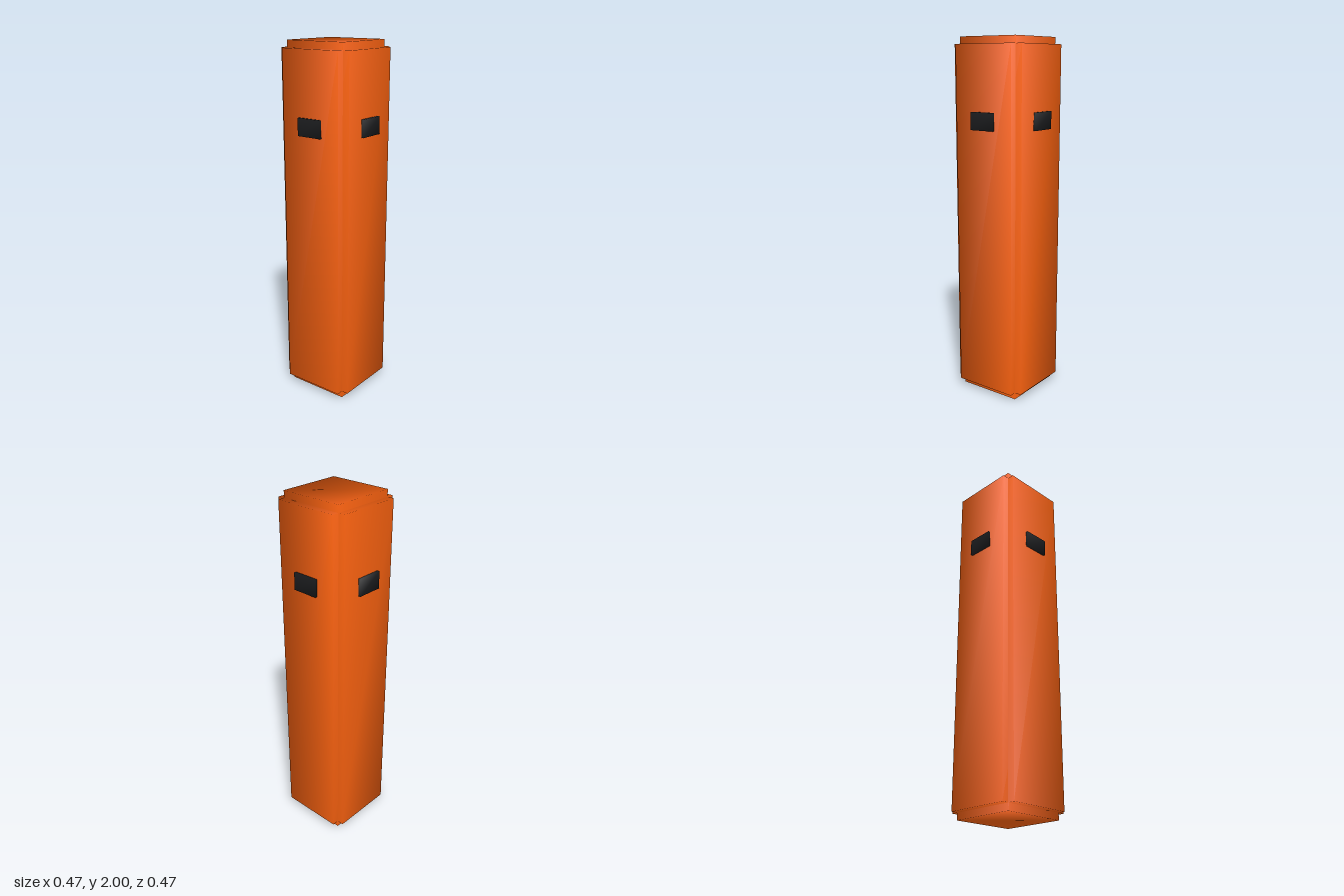
import * as THREE from 'three';
import { mergeVertices } from 'three/addons/utils/BufferGeometryUtils.js';

// Box whose corners share averaged normals, for soft shading over plain faces
function softBox(w, h, d) {
  const box = new THREE.BoxGeometry(w, h, d);
  box.deleteAttribute('normal');
  box.deleteAttribute('uv');
  const geometry = mergeVertices(box);
  geometry.computeVertexNormals();
  return geometry;
}

export function createModel() {
  const group = new THREE.Group();
  const orange = new THREE.MeshStandardMaterial({ color: 0xff6410 });
  const black = new THREE.MeshStandardMaterial({ color: 0x1c1d1f });

  const add = (name, geometry, material, x, y, z) => {
    const mesh = new THREE.Mesh(geometry, material);
    mesh.name = name;
    mesh.position.set(x, y, z);
    group.add(mesh);
    return mesh;
  };

  // Body: three crossed boxes, each longest along one axis, leaving stepped edges
  const inner = 0.366, outer = 0.444, shortHeight = 1.922;
  add('bodyCore', softBox(inner, 2, inner), orange, 0, 1, 0);
  add('bodyWide', softBox(outer, shortHeight, inner), orange, 0, 1, 0);
  add('bodyDeep', softBox(inner, shortHeight, outer), orange, 0, 1, 0);

  // Dark window panel near the top of each side
  const depth = 0.03, reach = 0.235 - depth / 2;
  ['frontWindow', 'leftWindow', 'backWindow', 'rightWindow'].forEach((name, i) => {
    const angle = (i * Math.PI) / 2;
    const panel = add(name, softBox(0.148, 0.096, depth), black,
      Math.sin(angle) * reach, 1.562, Math.cos(angle) * reach);
    panel.rotation.y = angle;
  });

  return group;
}
